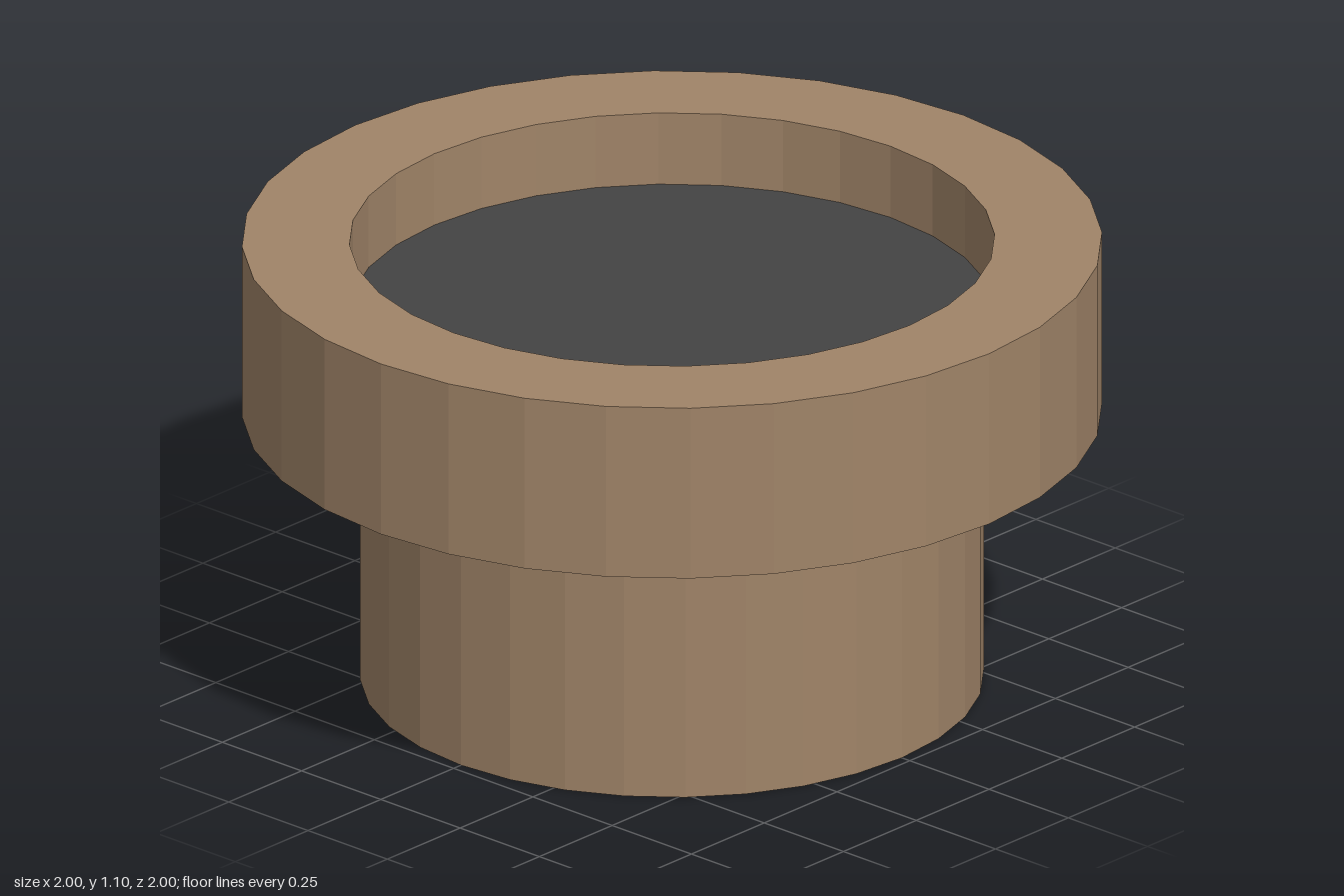
import * as THREE from 'three';

const SIDES = 32;
const clay = new THREE.MeshStandardMaterial({ color: 0xa08468, flatShading: true });
const soilMaterial = new THREE.MeshStandardMaterial({ color: 0x444444, flatShading: true });

function addPart(group, name, geometry, material, y = 0) {
  const flat = geometry.toNonIndexed();
  flat.computeVertexNormals();
  const mesh = new THREE.Mesh(flat, material);
  mesh.name = name;
  mesh.position.y = y;
  group.add(mesh);
}

export function createModel() {
  const pot = new THREE.Group();
  pot.name = 'plantPot';

  const bodyHeight = 0.67, bodyRadius = 0.725;
  const top = 1.1, innerRadius = 0.75, soilTop = 0.92;

  // Straight lower body with a closed base
  addPart(pot, 'body',
    new THREE.CylinderGeometry(bodyRadius, bodyRadius, bodyHeight, SIDES), clay, bodyHeight / 2);

  // Wide hollow rim: underside, outer wall, flat lip, inner wall
  const profile = [
    [bodyRadius, bodyHeight], [1, bodyHeight], [1, top],
    [innerRadius, top], [innerRadius, soilTop - 0.05],
  ].map(([r, y]) => new THREE.Vector2(r, y));
  addPart(pot, 'rim', new THREE.LatheGeometry(profile, SIDES), clay);

  // Soil surface set below the lip
  const soilDepth = 0.05;
  addPart(pot, 'soil',
    new THREE.CylinderGeometry(innerRadius, innerRadius, soilDepth, SIDES), soilMaterial, soilTop - soilDepth / 2);

  return pot;
}
